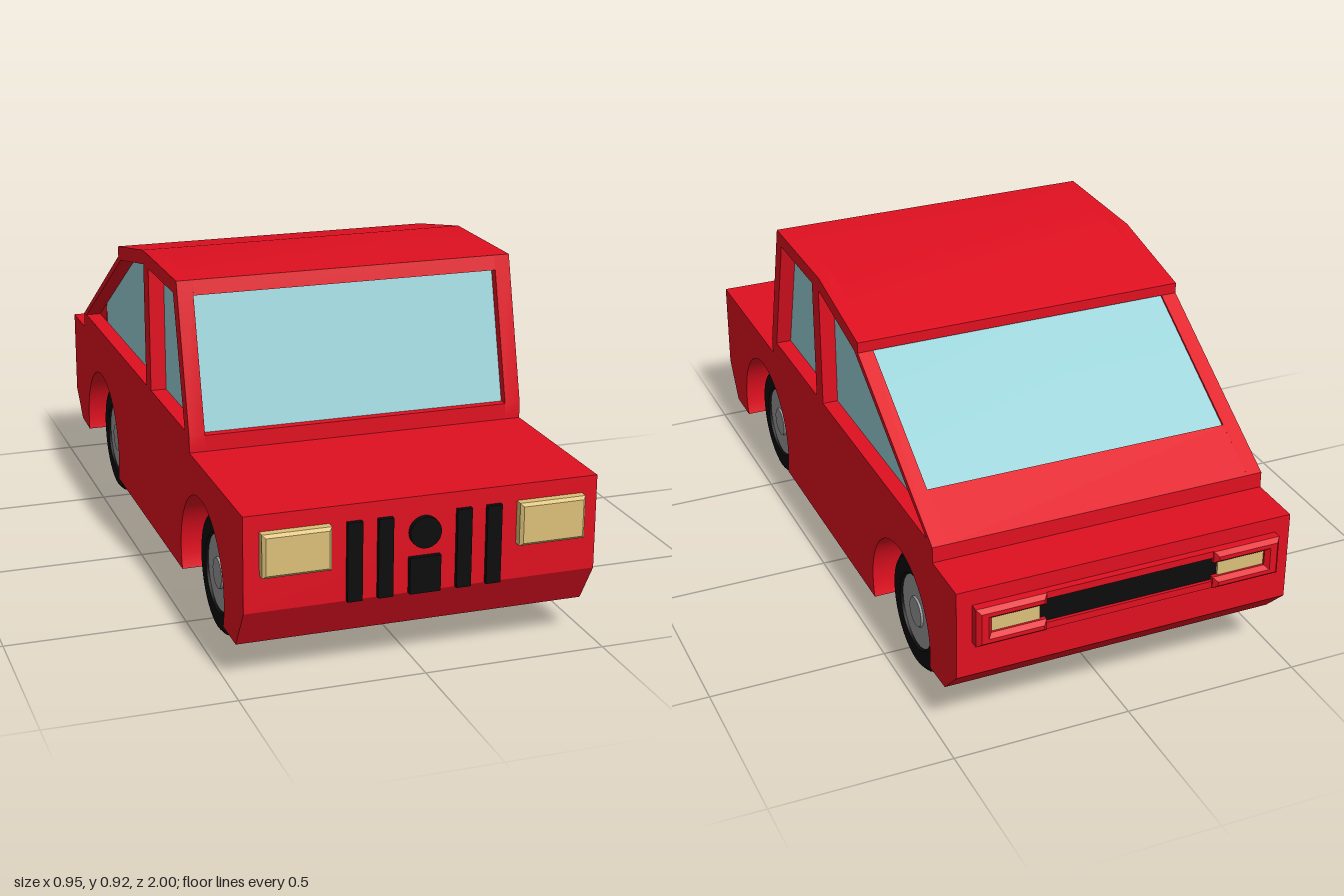
import * as THREE from 'three';
import { toCreasedNormals } from 'three/addons/utils/BufferGeometryUtils.js';

const paint = (color) => new THREE.MeshStandardMaterial({ color });
const red = paint(0xe01020);
const glass = paint(0x9ad2d8);
const black = paint(0x0c0c0c);
const amber = paint(0xdcc078);
const grey = paint(0x999999);

const HALF = 0.477; // half body width
const INNER = 0.433; // half width between the cabin side frames

const points = (list) => list.map(([a, b]) => new THREE.Vector2(a, b));
const outline = (list) => new THREE.Shape(points(list));

export function createModel() {
  const model = new THREE.Group();

  const add = (name, geometry, material, x = 0, y = 0, z = 0, parent = model) => {
    const mesh = new THREE.Mesh(geometry, material);
    mesh.name = name;
    mesh.position.set(x, y, z);
    parent.add(mesh);
    return mesh;
  };
  // Box given by its limits
  const box = (name, material, x0, x1, y0, y1, z0, z1) =>
    add(name, new THREE.BoxGeometry(x1 - x0, y1 - y0, z1 - z0), material,
      (x0 + x1) / 2, (y0 + y1) / 2, (z0 + z1) / 2);
  // Side profile drawn in (z, y), extruded across x
  const across = (name, shape, material, x0, x1) => {
    const g = new THREE.ExtrudeGeometry(shape, { depth: x1 - x0, bevelEnabled: false, curveSegments: 20 });
    g.rotateY(-Math.PI / 2).translate(x1, 0, 0);
    return add(name, toCreasedNormals(g, 0.4), material);
  };

  // Lower body with open wheel arches
  const frontAxle = 0.585, rearAxle = -0.575, axleY = 0.17, archR = 0.211;
  const dip = Math.asin(-0.065 / archR);
  const body = new THREE.Shape();
  body.moveTo(-0.965, 0.475);
  body.lineTo(0.97, 0.475);
  body.lineTo(0.97, 0.217);
  body.lineTo(0.9, 0.105);
  body.absarc(frontAxle, axleY, archR, dip, Math.PI - dip, false);
  body.absarc(rearAxle, axleY, archR, dip, Math.PI + Math.asin(0.035 / archR), false);
  body.lineTo(-0.885, 0.14);
  body.lineTo(-0.965, 0.22);
  across('body', body, red, -HALF, HALF);
  box('underTray', black, -0.45, 0.45, 0.101, 0.12, -0.345, 0.355);

  // Cabin side frames with window openings
  const frame = outline([[0.48, 0.47], [0.48, 0.52], [0.375, 0.92], [0.01, 0.92],
    [-0.295, 0.86], [-0.295, 0.83], [-0.81, 0.52], [-0.81, 0.47]]);
  frame.holes.push(
    new THREE.Path(points([[0.435, 0.525], [0.07, 0.525], [0.07, 0.88], [0.34, 0.88]])),
    new THREE.Path(points([[0.015, 0.525], [-0.77, 0.525], [-0.265, 0.825], [0.015, 0.88]])));
  across('leftCabinFrame', frame, red, INNER, HALF);
  across('rightCabinFrame', frame, red, -HALF, -INNER);

  // Roof, sills and the recessed glass between the frames
  across('roof', outline([[0.386, 0.88], [0.375, 0.92], [0.01, 0.92], [-0.295, 0.86],
    [-0.295, 0.83], [-0.27, 0.825], [0.01, 0.88]]), red, -INNER, INNER);
  across('windscreenSill', outline([[0.48, 0.47], [0.48, 0.52], [0.44, 0.52], [0.44, 0.47]]),
    red, -INNER, INNER);
  across('rearDeck', outline([[-0.67, 0.47], [-0.67, 0.604], [-0.81, 0.52], [-0.81, 0.47]]),
    red, -INNER, INNER);
  across('windows', outline([[0.46, 0.5], [0.36, 0.88], [0.01, 0.885], [-0.28, 0.832],
    [-0.295, 0.825], [-0.67, 0.599], [-0.67, 0.5]]), glass, -INNER + 0.001, INNER - 0.001);

  // Headlights with bevelled rims
  const lampShape = outline([[-0.083, -0.05], [0.083, -0.05], [0.083, 0.05], [-0.083, 0.05]]);
  const lampGeometry = new THREE.ExtrudeGeometry(lampShape,
    { depth: 0.04, bevelThickness: 0.008, bevelSize: 0.008, bevelSegments: 1 });

  // Raised rim around each end of the rear light strip
  const rimShape = outline([[0.25, 0.33], [0.423, 0.33], [0.423, 0.42], [0.25, 0.42],
    [0.25, 0.408], [0.403, 0.408], [0.403, 0.342], [0.25, 0.342]]);
  const rimGeometry = new THREE.ExtrudeGeometry(rimShape,
    { depth: 0.028, bevelThickness: 0.012, bevelSize: 0.011, bevelSegments: 1 });

  for (const side of [1, -1]) {
    const label = side > 0 ? 'left' : 'right';
    add(label + 'Headlight', lampGeometry, amber, side * 0.344, 0.373, 0.952);

    const rim = rimGeometry.clone();
    if (side > 0) rim.translate(0, 0, -0.988);
    else rim.rotateY(Math.PI).translate(0, 0, -0.96);
    add(label + 'TailRim', rim, red);
    const [a, b] = side > 0 ? [0.255, 0.405] : [-0.405, -0.255];
    box(label + 'TailLight', amber, a, b, 0.335, 0.415, -0.982, -0.95);

    // Grille bars
    box(label + 'InnerGrilleBar', black, side * 0.1 - 0.02 + side * 0.006,
      side * 0.1 + 0.02 + side * 0.006, 0.217, 0.43, 0.95, 0.983);
    box(label + 'OuterGrilleBar', black, side * 0.188 - 0.02, side * 0.188 + 0.02,
      0.217, 0.43, 0.95, 0.983);
  }

  // Rear strip: black centre between thin red rails
  box('rearPanel', black, -0.256, 0.256, 0.335, 0.415, -0.976, -0.95);
  for (const [name, y] of [['upperRail', 0.421], ['lowerRail', 0.329]])
    box(name, red, -0.256, 0.256, y - 0.01, y + 0.01, -0.985, -0.95);

  // Grille centre
  box('grilleBlock', black, -0.042, 0.042, 0.217, 0.315, 0.95, 0.985);
  const disc = new THREE.CylinderGeometry(0.042, 0.042, 0.035, 32).rotateX(Math.PI / 2);
  add('grilleDisc', disc, black, 0, 0.38, 0.9675);

  // Wheels: tyre with a recessed grey hub and small cap
  const tyreProfile = points([[0.001, -0.092], [0.155, -0.092], [0.168, -0.08], [0.168, 0.08],
    [0.155, 0.092], [0.11, 0.092], [0.105, 0.078], [0.001, 0.078]]);
  const tyre = toCreasedNormals(new THREE.LatheGeometry(tyreProfile, 40), 0.4);
  const hub = new THREE.CylinderGeometry(0.105, 0.105, 0.01, 40);
  const cap = new THREE.CylinderGeometry(0.042, 0.045, 0.008, 32);
  for (const [end, z] of [['front', frontAxle], ['rear', rearAxle]]) {
    for (const side of [1, -1]) {
      const wheel = new THREE.Group();
      wheel.name = end + (side > 0 ? 'Left' : 'Right') + 'Wheel';
      wheel.position.set(side * 0.343, 0.168, z);
      wheel.rotation.z = -side * Math.PI / 2;
      add('tyre', tyre, black, 0, 0, 0, wheel);
      add('hub', hub, grey, 0, 0.081, 0, wheel);
      add('hubCap', cap, grey, 0, 0.088, 0, wheel);
      model.add(wheel);
    }
  }
  return model;
}
